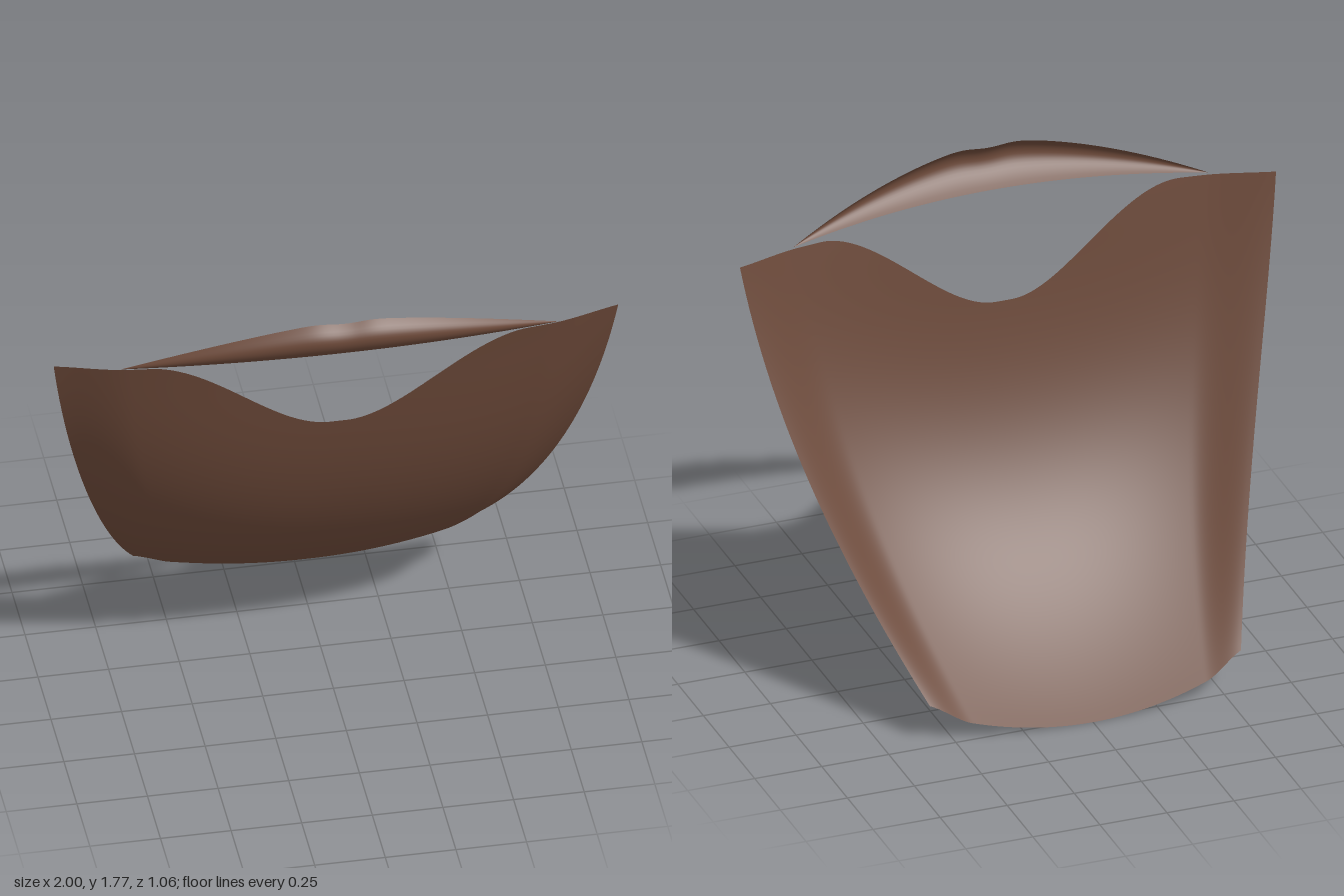
import * as THREE from 'three';

const material = new THREE.MeshStandardMaterial({ color: 0x6b4838, side: THREE.DoubleSide });
const { lerp, smoothstep } = THREE.MathUtils;

// Smooth sheet: point(s, t) with s from -1 (right) to 1 (left), t from 0 (bottom) to 1 (top)
function sheet(name, columns, rows, point) {
  const geometry = new THREE.PlaneGeometry(2, 1, columns, rows);
  const { position, uv } = geometry.attributes;
  for (let i = 0; i < position.count; i++) {
    position.setXYZ(i, ...point(uv.getX(i) * 2 - 1, uv.getY(i)));
  }
  geometry.computeVertexNormals();
  const mesh = new THREE.Mesh(geometry, material);
  mesh.name = name;
  return mesh;
}

const TOP = 1.57;
const SIDE_BOTTOM = 0.136;

// How far a point has turned from the centre line (0) to the side rim (1)
const turn = (a, v) => 0.8 * a ** (2 + v) + 0.2 * smoothstep(a, 0.75, 1);

// Curved guard: blends a centre profile into the side rims, cut by a neck scoop at the top
function guardPoint(s, t) {
  const a = Math.abs(s);
  const scoopY = lerp(1.23, TOP, smoothstep(a, 0.03, 0.67));
  const drop = SIDE_BOTTOM * turn(a, 0.9);
  const v = t * (scoopY - drop) / (TOP - drop);

  const yc = TOP * v;
  const zc = -0.53 + yc * (1.618 - 1.05 * yc + 0.2525 * yc * yc);
  const h = (TOP - SIDE_BOTTOM) * v;
  const ze = -0.455 + h * (1.04 - 0.486 * h + 0.089 * h * h);
  const halfWidth = 0.58 + h * (0.45 - 0.11 * h);

  const d = turn(a, v);
  return [s * halfWidth, lerp(yc, SIDE_BOTTOM + h, d), lerp(zc, ze, d)];
}

// Bowed lip: forward-bulging strip that tapers to both tips, with a small dip at the middle
function lipPoint(s, t) {
  const a = Math.abs(s);
  const bow = 1 - a * a;
  const height = 0.17 * (1 - a ** 1.5) - 0.018 * Math.exp(-((a / 0.1) ** 2));
  const k = height / 0.152;
  const mid = 2 * t * (1 - t);
  return [
    0.775 * s,
    1.575 + 0.035 * bow + k * (0.085 * mid + 0.15 * t * t),
    0.365 + 0.09 * bow + k * (0.1335 * mid + 0.033 * t * t),
  ];
}

export function createModel() {
  const group = new THREE.Group();
  group.name = 'curvedGuard';
  group.add(sheet('guardPlate', 120, 60, guardPoint));
  group.add(sheet('upperLip', 100, 16, lipPoint));
  return group;
}
